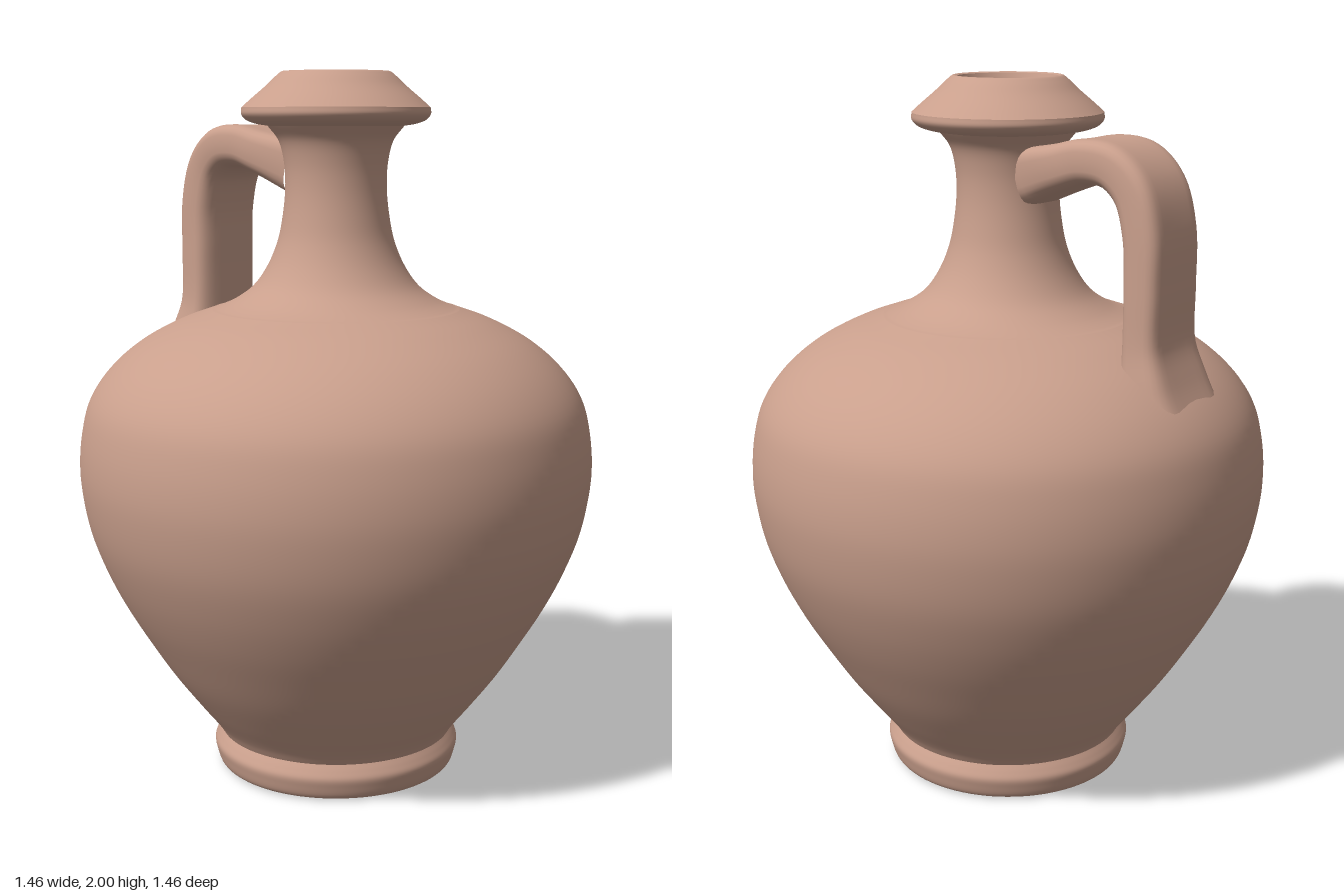
import * as THREE from 'three';

const clay = new THREE.MeshStandardMaterial({ color: 0xc99f8c });
clay.name = 'terracotta';

// Smooth curve through [radius, height] pairs, spun around the y axis
function turned(name, pairs, steps = 40) {
  const curve = new THREE.CatmullRomCurve3(
    pairs.map(([r, y]) => new THREE.Vector3(r, y, 0)), false, 'centripetal');
  const profile = curve.getPoints(steps).map(p => new THREE.Vector2(Math.max(p.x, 0), p.y));
  const mesh = new THREE.Mesh(new THREE.LatheGeometry(profile, 96), clay);
  mesh.name = name;
  return mesh;
}

// Flat strap swept along a path in the xy plane; stations are [x, y, halfThickness, halfWidth, z]
function strap(name, stations) {
  const path = new THREE.CatmullRomCurve3(
    stations.map(([x, y]) => new THREE.Vector3(x, y, 0)), false, 'centripetal');
  const sizes = new THREE.CatmullRomCurve3(
    stations.map(([, , t, w, z]) => new THREE.Vector3(t, w, z)), false, 'catmullrom');
  const rings = 56, sides = 32, pos = [], index = [];
  for (let i = 0; i <= rings; i++) {
    const u = i / rings;
    const c = path.getPoint(u), d = path.getTangent(u), s = sizes.getPoint(u);
    for (let j = 0; j < sides; j++) {
      const a = (j / sides) * Math.PI * 2, ca = Math.cos(a), sa = Math.sin(a);
      // rounded rectangle section with a shallow groove along the outer face
      const across = Math.sign(sa) * Math.abs(sa) ** 0.6 * s.y;
      let out = Math.sign(ca) * Math.abs(ca) ** 0.6 * s.x;
      if (ca > 0) out -= 0.012 * ca ** 6;
      pos.push(c.x + d.y * out, c.y - d.x * out, s.z + across);
      if (i < rings) {
        const k = (j + 1) % sides, p = i * sides, q = p + sides;
        index.push(p + j, q + j, p + k, p + k, q + j, q + k);
      }
    }
  }
  const geo = new THREE.BufferGeometry();
  geo.setAttribute('position', new THREE.Float32BufferAttribute(pos, 3));
  geo.setIndex(index);
  geo.computeVertexNormals();
  const mesh = new THREE.Mesh(geo, clay);
  mesh.name = name;
  return mesh;
}

export function createModel() {
  const jug = new THREE.Group();
  jug.name = 'jug';

  // Recessed underside and ring foot
  jug.add(turned('footRecess', [[0, 0.05], [0.12, 0.05], [0.205, 0.045]], 8));
  jug.add(turned('footRing', [
    [0.205, 0.045], [0.222, 0.022], [0.27, 0.007], [0.325, 0.004], [0.342, 0.012],
    [0.354, 0.045], [0.358, 0.07], [0.349, 0.09], [0.338, 0.108]]));

  // Belly and shoulder
  jug.add(turned('body', [
    [0.338, 0.108], [0.355, 0.135], [0.41, 0.205], [0.485, 0.305], [0.55, 0.405],
    [0.61, 0.505], [0.66, 0.605], [0.7, 0.71], [0.722, 0.81], [0.73, 0.9],
    [0.722, 1.0], [0.698, 1.09], [0.645, 1.17], [0.56, 1.245], [0.45, 1.305],
    [0.35, 1.342]], 72));

  // Shallow step at the root of the neck, then the neck itself
  jug.add(turned('neck', [
    [0.35, 1.342], [0.336, 1.346], [0.29, 1.366], [0.235, 1.405], [0.195, 1.46],
    [0.165, 1.53], [0.15, 1.6], [0.142, 1.68], [0.145, 1.75], [0.16, 1.81],
    [0.19, 1.85]], 56));

  // Flared collar rim: underside, lip, sloped top and mouth
  jug.add(turned('rimUnderside', [[0.19, 1.85], [0.225, 1.856], [0.25, 1.866], [0.263, 1.882], [0.262, 1.9]], 20));
  jug.add(turned('rimTop', [[0.262, 1.9], [0.235, 1.924], [0.195, 1.958], [0.165, 1.986], [0.148, 1.998], [0.138, 1.995]], 24));
  jug.add(turned('mouth', [[0.138, 1.995], [0.13, 1.97], [0.12, 1.91], [0.112, 1.84], [0.108, 1.79]], 16));
  jug.add(turned('mouthFloor', [[0.108, 1.79], [0.06, 1.785], [0, 1.785]], 6));

  // Strap handle from the shoulder up and over to the neck
  jug.add(strap('handle', [
    [-0.54, 1.12, 0.13, 0.15, -0.01],
    [-0.53, 1.23, 0.085, 0.135, -0.015],
    [-0.518, 1.33, 0.064, 0.118, -0.02],
    [-0.518, 1.48, 0.064, 0.115, -0.022],
    [-0.513, 1.62, 0.066, 0.115, -0.022],
    [-0.478, 1.73, 0.067, 0.115, -0.02],
    [-0.41, 1.787, 0.067, 0.118, -0.015],
    [-0.32, 1.797, 0.066, 0.12, -0.012],
    [-0.23, 1.775, 0.07, 0.12, -0.01],
    [-0.1, 1.74, 0.085, 0.1, 0]].reverse()));

  return jug;
}
